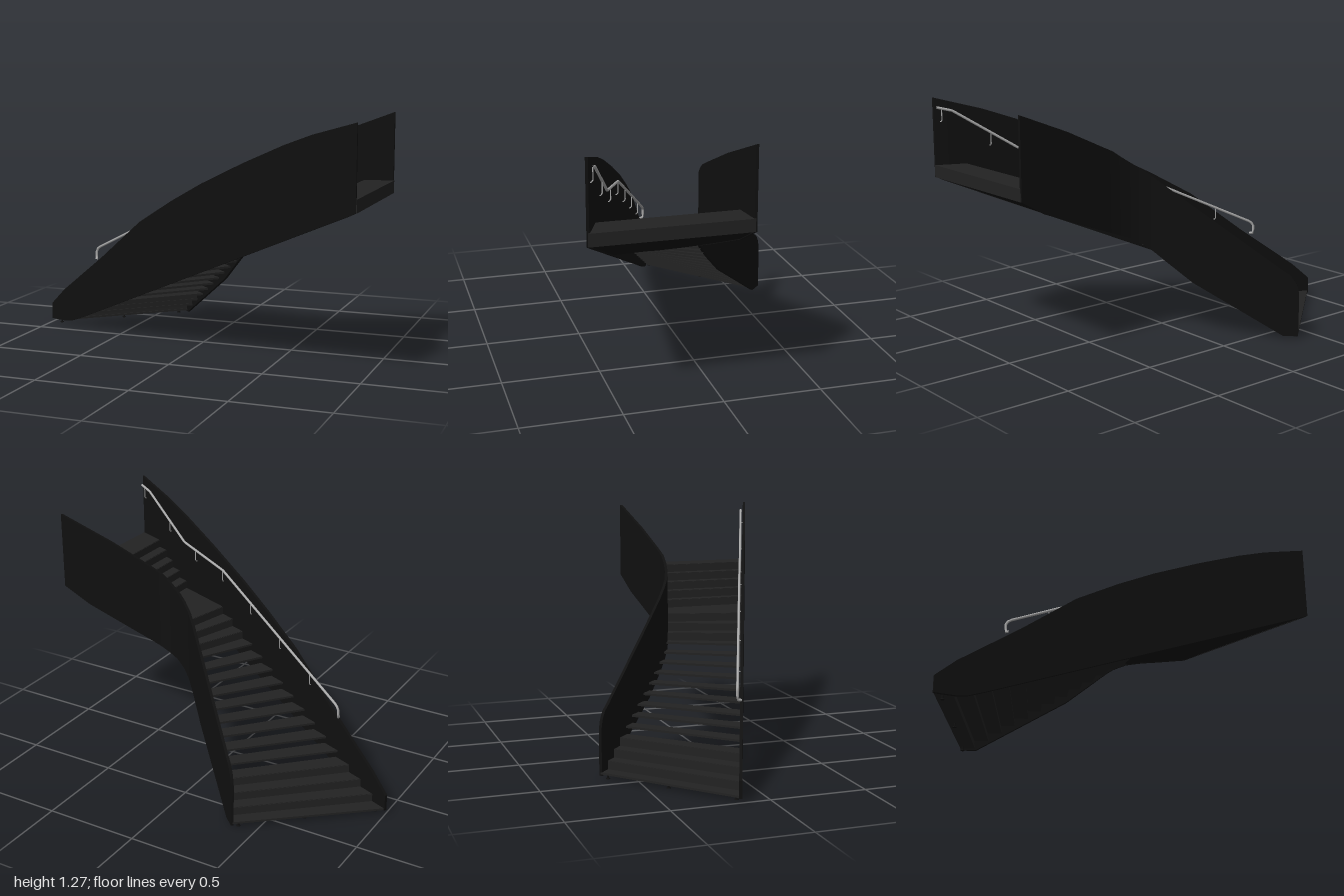
import * as THREE from 'three';
import { toCreasedNormals } from 'three/addons/utils/BufferGeometryUtils.js';

const WALL = 0.015, TREAD = 0.011, LANDING = 15, TOP = 20;
const wallMat = new THREE.MeshStandardMaterial({ color: 0x101010, side: THREE.DoubleSide });
const stepMat = new THREE.MeshStandardMaterial({ color: 0x222222, side: THREE.DoubleSide });
const railMat = new THREE.MeshStandardMaterial({ color: 0xaaaaaa });

// Piecewise linear lookup through [input, output] pairs
function lookup(table, v) {
  for (let i = 1; i < table.length; i++) {
    const [a, p] = table[i - 1], [b, q] = table[i];
    if (v <= b || i === table.length - 1) return p + (q - p) * (v - a) / (b - a);
  }
}

// Each side wall: plan line z(x), top and bottom edges y(x), inward direction
const outer = {
  plan: [[-1, -0.145], [1, 0.66]],
  top: [[-1, 0.11], [-0.9, 0.205], [-0.6, 0.435], [-0.32, 0.665], [-0.1, 0.8], [0.1, 0.91],
    [0.36, 1.035], [0.6, 1.14], [0.76, 1.2], [1, 1.27]],
  bottom: [[-1, 0.02], [-0.89, 0.022], [-0.84, 0.032], [-0.76, 0.065], [1, 0.85]],
  inward: -1,
};
const inner = {
  plan: [[-0.38, -0.67], [0.03, -0.29], [0.14, -0.19], [0.19, -0.15], [0.24, -0.12], [0.29, -0.1],
    [0.35, -0.088], [0.41, -0.084], [0.48, -0.089], [1, -0.15]],
  top: [[-0.38, 0.25], [-0.37, 0.3], [-0.35, 0.34], [-0.32, 0.365], [0.03, 0.71], [0.18, 0.86],
    [0.28, 0.94], [0.4, 1.02], [0.7, 1.155], [1, 1.27]],
  bottom: [[-0.38, 0.015], [-0.32, 0.015], [0.03, 0.3], [0.19, 0.475], [0.23, 0.51], [0.3, 0.55],
    [0.56, 0.65], [0.85, 0.765], [1, 0.85]],
  inward: 1,
};

// Plan point on a wall, moved inwards by d
function planPoint(wall, x, d) {
  const z = lookup(wall.plan, x), e = 0.02;
  const slope = (lookup(wall.plan, x + e) - lookup(wall.plan, x - e)) / (2 * e);
  const len = Math.hypot(1, slope), s = wall.inward * d / len;
  return [THREE.MathUtils.clamp(x - slope * s, -1, 1), z + s];
}

// Where step line k meets each wall
const outerX = [[0, -1], [LANDING, 0.27], [16, 0.6], [TOP, 0.85], [21, 1]];
const innerX = [[0, -0.38], [LANDING, 0.38], [16, 0.6], [TOP, 0.85], [21, 1]];
const outerEnd = (k) => planPoint(outer, lookup(outerX, k), WALL / 2);
const innerEnd = (k) => planPoint(inner, lookup(innerX, k), WALL / 2);
const level = (k) => 0.033 + 0.0441 * k;

function add(parent, geometry, material, name) {
  const mesh = new THREE.Mesh(geometry, material);
  mesh.name = name;
  parent.add(mesh);
  return mesh;
}

// Surface over a grid of points given by rows
function gridGeometry(rows) {
  const n = rows[0].length, index = [];
  for (let i = 0; i < rows.length - 1; i++) {
    for (let j = 0; j < n - 1; j++) {
      const a = i * n + j, b = a + n;
      index.push(a, b, a + 1, b, b + 1, a + 1);
    }
  }
  const g = new THREE.BufferGeometry();
  g.setAttribute('position', new THREE.Float32BufferAttribute(rows.flat(2), 3));
  g.setIndex(index);
  g.computeVertexNormals();
  return g;
}

// Wall panel: a rectangular section swept along the plan line
function wallGeometry(wall) {
  const xs = new Set([...wall.plan, ...wall.top, ...wall.bottom].map((p) => p[0]));
  const x0 = wall.plan[0][0];
  for (let i = 0; i <= 50; i++) xs.add(x0 + (1 - x0) * i / 50);
  const rows = [...xs].sort((a, b) => a - b).map((x) => {
    const lo = lookup(wall.bottom, x), hi = lookup(wall.top, x);
    const [ax, az] = planPoint(wall, x, 0), [bx, bz] = planPoint(wall, x, WALL);
    const ring = [[ax, lo, az], [ax, hi, az], [bx, hi, bz], [bx, lo, bz], [ax, lo, az]];
    return wall.inward > 0 ? ring.reverse() : ring;
  });
  // Close both ends by collapsing the section
  const cap = (r) => r.map((p, i) => (i === 1 ? r[1] : i === 2 ? r[1] : r[0]));
  rows.unshift(cap(rows[0]));
  rows.push(cap(rows[rows.length - 1]));
  return toCreasedNormals(gridGeometry(rows), 0.6);
}

// Flat slab between step lines a and b
function treadGeometry(a, b) {
  const pts = [outerEnd(a), outerEnd(b)];
  for (let i = 8; i >= 0; i--) pts.push(innerEnd(a + (b - a) * i / 8));
  const shape = new THREE.Shape(pts.map(([x, z]) => new THREE.Vector2(x, -z)));
  return new THREE.ExtrudeGeometry(shape, { depth: TREAD, bevelEnabled: false }).rotateX(-Math.PI / 2);
}

// Upright board along step line k
function addRiser(parent, k, lo, hi) {
  const [ax, az] = outerEnd(k), [bx, bz] = innerEnd(k);
  const board = add(parent, new THREE.BoxGeometry(Math.hypot(bx - ax, bz - az), hi - lo, 0.006), stepMat, 'riser');
  board.position.set((ax + bx) / 2, (lo + hi) / 2, (az + bz) / 2);
  board.rotation.y = -Math.atan2(bz - az, bx - ax);
}

function tube(points, radius) {
  const path = new THREE.CurvePath();
  for (let i = 1; i < points.length; i++) path.add(new THREE.LineCurve3(points[i - 1], points[i]));
  return new THREE.TubeGeometry(path, points.length * 12, radius, 8);
}

export function createModel() {
  const model = new THREE.Group();
  model.name = 'staircase';
  add(model, wallGeometry(outer), wallMat, 'outerWall');
  add(model, wallGeometry(inner), wallMat, 'innerWall');

  // Treads, open in the middle of the lower flight, closed elsewhere
  const steps = new THREE.Group();
  steps.name = 'steps';
  model.add(steps);
  for (let k = 0; k <= TOP; k++) {
    const name = k === LANDING ? 'landing' : k === TOP ? 'topFloor' : 'tread';
    const nosing = k < LANDING ? 0.12 : 0;
    add(steps, treadGeometry(k, k + 1 + nosing), stepMat, name).position.y = level(k) - TREAD;
    if (k > 0 && (k <= 3 || k >= 13)) addRiser(steps, k, k === 13 ? 0.555 : level(k - 1) - TREAD, level(k) - 0.002);
  }
  addRiser(steps, 21, 0.85, level(TOP));

  // Soffit under the landing and upper flight
  const rows = [];
  for (let i = 0; i <= 40; i++) {
    const k = 13 + 8 * i / 40, a = outerEnd(k), b = innerEnd(k);
    const ya = lookup(outer.bottom, a[0]), yb = lookup(inner.bottom, b[0]);
    rows.push(Array.from({ length: 9 }, (_, j) => {
      const t = j / 8, mix = THREE.MathUtils.lerp;
      return [mix(a[0], b[0], t), Math.max(0.555, mix(ya, yb, t) + 0.003), mix(a[1], b[1], t)];
    }));
  }
  add(model, gridGeometry(rows), wallMat, 'soffit');

  // Handrail following the outer wall
  const railLine = [[-0.64, 0.48], [0.26, 0.925], [0.6, 0.985], [0.92, 1.2], [0.995, 1.22]];
  const railPoint = (x, y, gap = 0.03) => new THREE.Vector3(x, y, lookup(outer.plan, x) - gap);
  const rail = new THREE.Group();
  rail.name = 'handrail';
  model.add(rail);
  const railPts = [railPoint(-0.65, 0.41, 0.01), railPoint(-0.655, 0.415), railPoint(-0.655, 0.46),
    ...railLine.map(([x, y]) => railPoint(x, y))];
  add(rail, tube(railPts, 0.007), railMat, 'rail');
  for (let i = 0; i < 7; i++) {
    const x = 0.97 - 0.235 * i, y = lookup(railLine, x);
    const pts = [railPoint(x, y), railPoint(x, y - 0.06), railPoint(x, y - 0.07, 0.022), railPoint(x, y - 0.07, 0.01)];
    add(rail, tube(pts, 0.003), railMat, 'railBracket');
  }

  // Feet below the first step
  for (const [x, z] of [[-0.94, -0.15], [-0.655, -0.395], [-0.4, -0.63]]) {
    add(model, new THREE.CylinderGeometry(0.005, 0.005, 0.024, 10), wallMat, 'footStem').position.set(x, 0.012, z);
    add(model, new THREE.CylinderGeometry(0.009, 0.011, 0.005, 12), wallMat, 'footPad').position.set(x, 0.0025, z);
  }
  return model;
}
